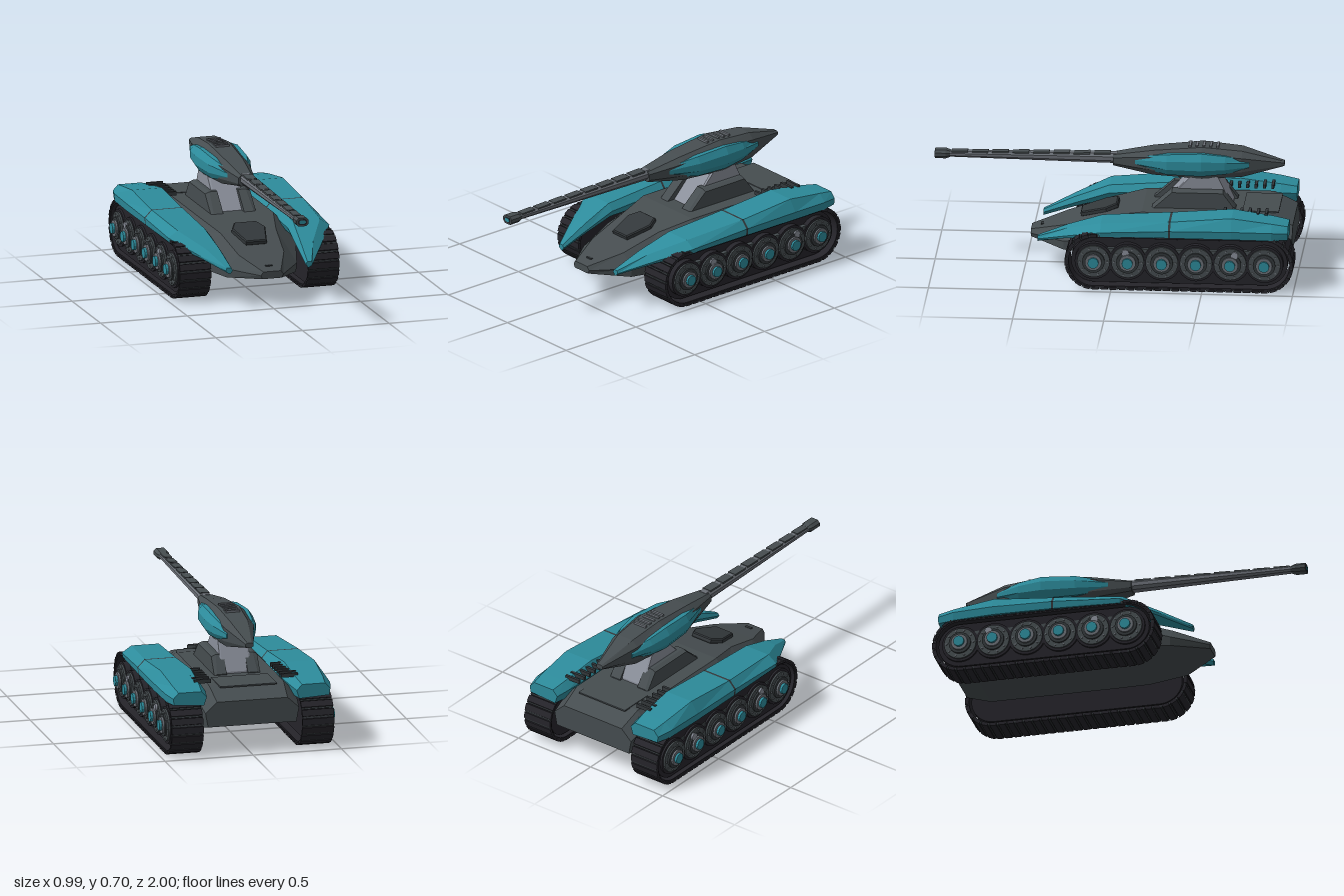
import * as THREE from 'three';
import { mergeGeometries } from 'three/addons/utils/BufferGeometryUtils.js';

const mat = (name, color) => {
  const m = new THREE.MeshStandardMaterial({ color, flatShading: true });
  m.name = name;
  return m;
};

// Skin convex rings (counter-clockwise seen from +z, front ring first) and cap both ends.
function loft(rings) {
  const v = [], n = rings[0].length, last = rings.length - 1;
  for (let k = 0; k < last; k++) for (let i = 0; i < n; i++) {
    const j = (i + 1) % n, a = rings[k][i], b = rings[k][j], c = rings[k + 1][j], d = rings[k + 1][i];
    v.push(...a, ...d, ...c, ...a, ...c, ...b);
  }
  for (let i = 1; i < n - 1; i++) {
    v.push(...rings[0][0], ...rings[0][i], ...rings[0][i + 1]);
    v.push(...rings[last][0], ...rings[last][i + 1], ...rings[last][i]);
  }
  const g = new THREE.BufferGeometry();
  g.setAttribute('position', new THREE.Float32BufferAttribute(v, 3));
  g.computeVertexNormals();
  return g;
}
const mirrorRing = (r) => r.map(([x, y, z]) => [-x, y, z]).reverse();
const sided = (rings, s) => loft(s > 0 ? rings : rings.map(mirrorRing));
// Ring symmetric about x = 0 from its right half, listed bottom to top
const symRing = (half, z) => [...half.map(([x, y]) => [x, y, z]), ...half.map(([x, y]) => [-x, y, z]).reverse()];

const box = (w, h, d, x = 0, y = 0, z = 0) => new THREE.BoxGeometry(w, h, d).translate(x, y, z);
const disc = (r, x0, x1, y, z, seg = 20) =>
  new THREE.CylinderGeometry(r, r, Math.abs(x1 - x0), seg).rotateZ(Math.PI / 2).translate((x0 + x1) / 2, y, z);

// Track layout
const AXLE_Y = 0.16, FRONT = 0.096, REAR = -0.842, RUN = FRONT - REAR;
function stadium(r, Type = THREE.Shape) {
  const p = new Type();
  p.moveTo(-FRONT, AXLE_Y - r);
  p.lineTo(-REAR, AXLE_Y - r);
  p.absarc(-REAR, AXLE_Y, r, -Math.PI / 2, Math.PI / 2, false);
  p.lineTo(-FRONT, AXLE_Y + r);
  p.absarc(-FRONT, AXLE_Y, r, Math.PI / 2, Math.PI * 1.5, false);
  return p;
}
const extrudeX = (shape, x0, x1) =>
  new THREE.ExtrudeGeometry(shape, { depth: x1 - x0, bevelEnabled: false, curveSegments: 14 })
    .rotateY(Math.PI / 2).translate(x0, 0, 0);

// Boxes spaced round the belt
function beltBoxes(w, h, len, r, x, count, shift = 0) {
  const arc = Math.PI * r, total = 2 * (RUN + arc), out = [];
  for (let i = 0; i < count; i++) {
    let d = ((i + shift) / count) * total, z, y, a;
    if (d < RUN) { z = FRONT - d; y = r; a = 0; }
    else if (d < RUN + arc) { a = (d - RUN) / r; z = REAR - r * Math.sin(a); y = r * Math.cos(a); }
    else if (d < 2 * RUN + arc) { z = REAR + d - RUN - arc; y = -r; a = Math.PI; }
    else { a = Math.PI + (d - 2 * RUN - arc) / r; z = FRONT - r * Math.sin(a); y = r * Math.cos(a); }
    out.push(new THREE.BoxGeometry(w, h, len).rotateX(-a).translate(x, AXLE_Y + y, z));
  }
  return mergeGeometries(out);
}

export function createModel() {
  const root = new THREE.Group();
  root.name = 'tank';
  const teal = mat('teal armour', 0x2d8c9c), hullGrey = mat('hull grey', 0x464d50);
  const dark = mat('dark trim', 0x33383b), rubber = mat('track black', 0x25242a);
  const light = mat('light grey', 0x8b909b), mid = mat('gun grey', 0x6a6f76);
  const add = (name, geo, m, parent = root) => {
    const mesh = new THREE.Mesh(geo, m);
    mesh.name = name;
    parent.add(mesh);
    return mesh;
  };

  // Hull: z, bottom / middle / top half widths, bottom / middle / top heights
  const hull = [
    [0.47, 0.055, 0.065, 0.05, 0.165, 0.185, 0.205],
    [0.28, 0.2, 0.205, 0.13, 0.14, 0.19, 0.26],
    [0.05, 0.265, 0.275, 0.16, 0.14, 0.24, 0.33],
    [-0.15, 0.27, 0.28, 0.21, 0.14, 0.3, 0.37],
    [-0.85, 0.27, 0.28, 0.21, 0.14, 0.3, 0.37],
    [-0.98, 0.25, 0.265, 0.2, 0.17, 0.25, 0.31],
  ].map(([z, a, b, c, ya, yb, yc]) => symRing([[a, ya], [b, yb], [c, yc]], z));
  add('hull', loft(hull), hullGrey);
  add('noseSlot', box(0.04, 0.01, 0.015, 0, 0.222, 0.41), dark);
  add('rearDeckPanel', box(0.32, 0.008, 0.2, 0, 0.37, -0.8), hullGrey);

  // Front hatch
  const hex = new THREE.Shape([[-0.09, 0.04], [-0.055, -0.1], [0.055, -0.1], [0.09, 0.04], [0.06, 0.1], [-0.06, 0.1]]
    .map(([x, y]) => new THREE.Vector2(x, y)));
  const hatch = add('frontHatch', new THREE.ExtrudeGeometry(hex, {
    depth: 0.018, bevelEnabled: true, bevelSize: 0.006, bevelThickness: 0.006, bevelSegments: 1,
  }).rotateX(-Math.PI / 2), dark);
  hatch.position.set(0, 0.318, 0.09);
  hatch.rotation.x = 0.28;

  // Fender stations: z, outer, top outer, top inner, inner x, bottom, shoulder, top y
  const fender = ([z, xo, xt, xi, xn, yb, ym, yt]) =>
    [[xn + 0.015, yb - 0.01, z], [xo - 0.005, yb, z], [xo, ym, z], [xt, yt, z], [xi, yt, z], [xn, ym, z]];
  const seam = (z) => fender([z, 0.475, 0.435, 0.26, 0.225, 0.31, 0.35, 0.392]);
  const fenderFront = [
    fender([0.42, 0.25, 0.245, 0.22, 0.21, 0.205, 0.215, 0.23]),
    fender([0.25, 0.355, 0.31, 0.235, 0.215, 0.258, 0.272, 0.302]),
    fender([0.06, 0.465, 0.41, 0.255, 0.225, 0.305, 0.33, 0.367]), seam(-0.314)];
  const fenderRear = [seam(-0.326),
    fender([-0.66, 0.478, 0.435, 0.265, 0.225, 0.31, 0.355, 0.42]),
    fender([-0.88, 0.468, 0.425, 0.275, 0.24, 0.305, 0.35, 0.39]),
    fender([-0.97, 0.445, 0.415, 0.285, 0.255, 0.305, 0.342, 0.374])];

  // Turret side pod
  const pod = [[-0.06, 0.02, 0.056, 0.59, 0.632], [-0.28, 0.05, 0.122, 0.553, 0.668], [-0.47, 0.05, 0.137, 0.55, 0.68],
    [-0.6, 0.05, 0.12, 0.562, 0.665], [-0.73, 0.02, 0.08, 0.585, 0.636]].map(([z, xi, xo, yb, yt]) => {
    const c = (yt - yb) * 0.3, e = (xo - xi) * 0.3;
    return [[xi, yb, z], [xo - e, yb, z], [xo, yb + c, z], [xo, yt - c, z], [xo - e, yt, z], [xi, yt, z]];
  });

  // Pedestal side block
  const block = [[-0.2, 0.355, 0.37, 0.125], [-0.31, 0.355, 0.47, 0.115], [-0.59, 0.355, 0.47, 0.115], [-0.66, 0.355, 0.375, 0.125]]
    .map(([z, yb, yt, x]) => [[0.06, yb, z], [0.13, yb, z], [0.13, yt - 0.01, z], [x - 0.01, yt, z], [0.06, yt, z]]);

  for (const s of [1, -1]) {
    const side = new THREE.Group();
    side.name = s > 0 ? 'leftSide' : 'rightSide';
    root.add(side);
    const put = (name, geo, m) => add(name, geo, m, side);
    put('fenderFront', sided(fenderFront, s), teal);
    put('fenderRear', sided(fenderRear, s), teal);
    put('fenderSeam', sided([seam(-0.314), seam(-0.326)], s), dark);
    put('turretPod', sided(pod, s), teal);
    put('pedestalBlock', sided(block, s), hullGrey);

    // Cooling fins beside the engine deck
    const fins = [];
    for (let i = 0; i < 6; i++) fins.push(box(0.095, 0.022, 0.015, s * 0.247, 0.396, -0.84 + i * 0.046));
    put('coolingFins', mergeGeometries(fins), dark);

    // Track belt, shoes and inner frame
    const cx = s * 0.37, ring = stadium(0.15);
    ring.holes.push(stadium(0.138, THREE.Path));
    put('trackBelt', extrudeX(ring, cx - 0.085, cx + 0.085), rubber);
    put('trackShoes', beltBoxes(0.18, 0.014, 0.036, 0.152, cx, 58), rubber);
    put('trackCleats', beltBoxes(0.176, 0.012, 0.008, 0.151, cx, 58, 0.5), dark);
    put('trackFrame', extrudeX(stadium(0.126), cx - 0.07, cx + 0.05), rubber);
    put('sideRail', box(0.03, 0.12, 0.82, s * 0.43, 0.175, -0.37), hullGrey);

    // Road wheels
    const tyres = [], rims = [], plates = [], hubs = [], caps = [], bolts = [];
    for (let i = 0; i < 6; i++) {
      const z = FRONT - i * RUN / 5, y = 0.163;
      tyres.push(disc(0.104, s * 0.42, s * 0.452, y, z, 28));
      rims.push(disc(0.09, s * 0.43, s * 0.462, y, z, 28));
      plates.push(disc(0.062, s * 0.44, s * 0.472, y, z));
      hubs.push(disc(0.046, s * 0.45, s * 0.483, y, z));
      caps.push(disc(0.03, s * 0.46, s * 0.497, y, z, 12));
      for (let k = 0; k < 10; k++) {
        const a = k * Math.PI / 5;
        bolts.push(disc(0.005, s * 0.455, s * 0.468, y + 0.076 * Math.sin(a), z + 0.076 * Math.cos(a), 6));
      }
    }
    put('wheelTyres', mergeGeometries(tyres), rubber);
    put('wheelRims', mergeGeometries(rims), hullGrey);
    put('wheelPlates', mergeGeometries(plates), dark);
    put('wheelHubs', mergeGeometries(hubs), mid);
    put('hubCaps', mergeGeometries(caps), teal);
    put('wheelBolts', mergeGeometries(bolts), mid);
    put('returnRollers', mergeGeometries([-0.08, -0.68].map((z) => disc(0.02, s * 0.43, s * 0.474, 0.218, z, 12))), light);
  }

  // Pedestal
  const column = [[-0.24, 0.085, 0.08, 0.365], [-0.41, 0.085, 0.072, 0.545], [-0.56, 0.085, 0.072, 0.545], [-0.64, 0.085, 0.08, 0.38]]
    .map(([z, wb, wt, yt]) => symRing([[wb, 0.355], [wb, yt - 0.005], [wt, yt]], z));
  add('pedestal', loft(column), light);

  // Turret: z, top / middle / bottom half widths, four heights from top down
  const turret = [
    [0.02, 0.03, 0.045, 0.03, 0.638, 0.625, 0.592, 0.577],
    [-0.2, 0.05, 0.088, 0.07, 0.675, 0.645, 0.572, 0.542],
    [-0.47, 0.06, 0.1, 0.088, 0.702, 0.67, 0.565, 0.53],
    [-0.69, 0.05, 0.085, 0.07, 0.682, 0.65, 0.572, 0.54],
    [-0.92, 0.012, 0.022, 0.012, 0.617, 0.61, 0.597, 0.59],
  ].map(([z, t, m, b, y3, y2, y1, y0]) => symRing([[b, y0], [m, y1], [m, y2], [t, y3]], z));
  add('turret', loft(turret), hullGrey);
  const vents = [];
  for (let i = 0; i < 5; i++) vents.push(box(0.08, 0.012, 0.014, 0, 0.7, -0.555 + i * 0.038));
  add('turretVents', mergeGeometries(vents), mid);

  // Gun
  const tube = (z, w, h, y = 0.615) => symRing([[w * 0.6, y - h], [w, y - h * 0.4], [w, y + h * 0.4], [w * 0.6, y + h]], z);
  add('barrel', loft([tube(0.95, 0.025, 0.015), tube(0, 0.035, 0.028)]), mid);
  const plates = [];
  for (let i = 0; i < 8; i++) {
    const z = 0.08 + i * 0.112, k = z / 0.95, h = 0.641 - 0.012 * k, w = 0.027 - 0.007 * k;
    plates.push(loft([symRing([[w, h - 0.012], [w, h + 0.003]], z + 0.045), symRing([[w, h - 0.012], [w, h + 0.006]], z - 0.045)]));
  }
  add('barrelTopPlates', mergeGeometries(plates), hullGrey);
  add('muzzle', loft([tube(1, 0.036, 0.024), tube(0.94, 0.036, 0.024), tube(0.915, 0.025, 0.016)]), hullGrey);
  add('muzzleRim', loft([tube(1.001, 0.026, 0.016), tube(0.995, 0.026, 0.016)]), rubber);
  add('muzzleBore', loft([tube(1.003, 0.018, 0.01), tube(0.998, 0.018, 0.01)]), teal);
  return root;
}
